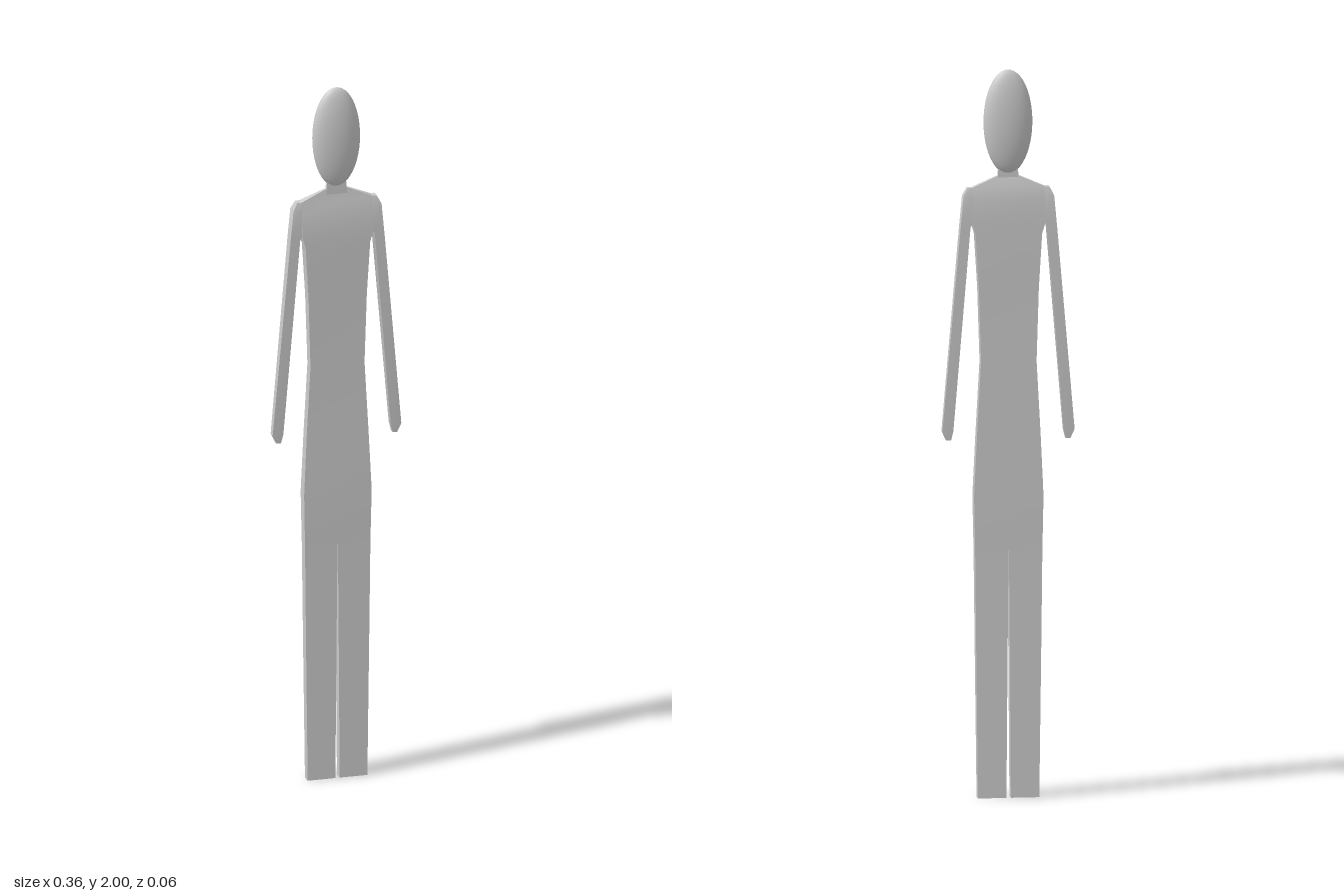
import * as THREE from 'three';
import { toCreasedNormals } from 'three/addons/utils/BufferGeometryUtils.js';

const material = new THREE.MeshStandardMaterial({ color: 0xcccccc });

// Loft through rectangular sections, listed bottom to top: [y, x0, x1, zBack, zFront]
function loft(name, sections) {
  const points = [], index = [];
  for (const [y, x0, x1, zb, zf] of sections) {
    points.push(x0, y, zf, x1, y, zf, x1, y, zb, x0, y, zb);
  }
  for (let s = 0; s < sections.length - 1; s++) {
    for (let i = 0; i < 4; i++) {
      const a = s * 4 + i, b = s * 4 + (i + 1) % 4;
      index.push(a, b, b + 4, a, b + 4, a + 4);
    }
  }
  const t = (sections.length - 1) * 4;
  index.push(0, 2, 1, 0, 3, 2, t, t + 1, t + 2, t, t + 2, t + 3);
  const geometry = new THREE.BufferGeometry();
  geometry.setAttribute('position', new THREE.Float32BufferAttribute(points, 3));
  geometry.setIndex(index);
  const mesh = new THREE.Mesh(toCreasedNormals(geometry, 0.5), material);
  mesh.name = name;
  return mesh;
}

// Mirror sections to the other side, keeping x0 < x1
const mirror = (sections) => sections.map(([y, x0, x1, zb, zf]) => [y, -x1, -x0, zb, zf]);

export function createModel() {
  const group = new THREE.Group();
  group.name = 'figure';

  // Head: flattened egg-shaped ellipsoid
  const head = new THREE.Mesh(new THREE.SphereGeometry(1, 32, 24), material);
  head.name = 'head';
  head.scale.set(0.067, 0.143, 0.03);
  head.position.y = 1.857;
  group.add(head);

  // Torso: hips, waist, chest and sloping shoulders [y, half width, zBack, zFront]
  const torso = [
    [0.68, 0.092, -0.017, 0.016],
    [0.83, 0.095, -0.018, 0.018],
    [1.0, 0.087, -0.018, 0.015],
    [1.2, 0.076, -0.018, 0.014],
    [1.4, 0.082, -0.019, 0.016],
    [1.55, 0.091, -0.02, 0.018],
    [1.58, 0.1, -0.02, 0.018],
    [1.645, 0.1, -0.019, 0.015],
    [1.678, 0.1, -0.014, 0.008],
    [1.708, 0.032, -0.005, 0.004],
  ];
  group.add(loft('torso', torso.map(([y, w, zb, zf]) => [y, -w, w, zb, zf])));

  // Neck
  group.add(loft('neck', [
    [1.69, -0.03, 0.03, -0.006, 0.006],
    [1.735, -0.026, 0.026, -0.006, 0.006],
  ]));

  // Arms hang slightly outward and taper to the hands
  const arm = [
    [0.985, 0.157, 0.17, -0.01, 0.007],
    [1.01, 0.151, 0.181, -0.012, 0.009],
    [1.57, 0.105, 0.132, -0.019, 0.014],
    [1.58, 0.099, 0.131, -0.019, 0.014],
    [1.655, 0.099, 0.124, -0.019, 0.014],
    [1.678, 0.099, 0.112, -0.013, 0.008],
  ];
  group.add(loft('leftArm', arm), loft('rightArm', mirror(arm)));

  // Straight legs, parted by a narrow gap
  const leg = [
    [0, 0.006, 0.084, -0.014, 0.014],
    [0.41, 0.003, 0.089, -0.016, 0.015],
    [0.68, 0.0005, 0.092, -0.017, 0.016],
  ];
  group.add(loft('leftLeg', leg), loft('rightLeg', mirror(leg)));

  return group;
}
